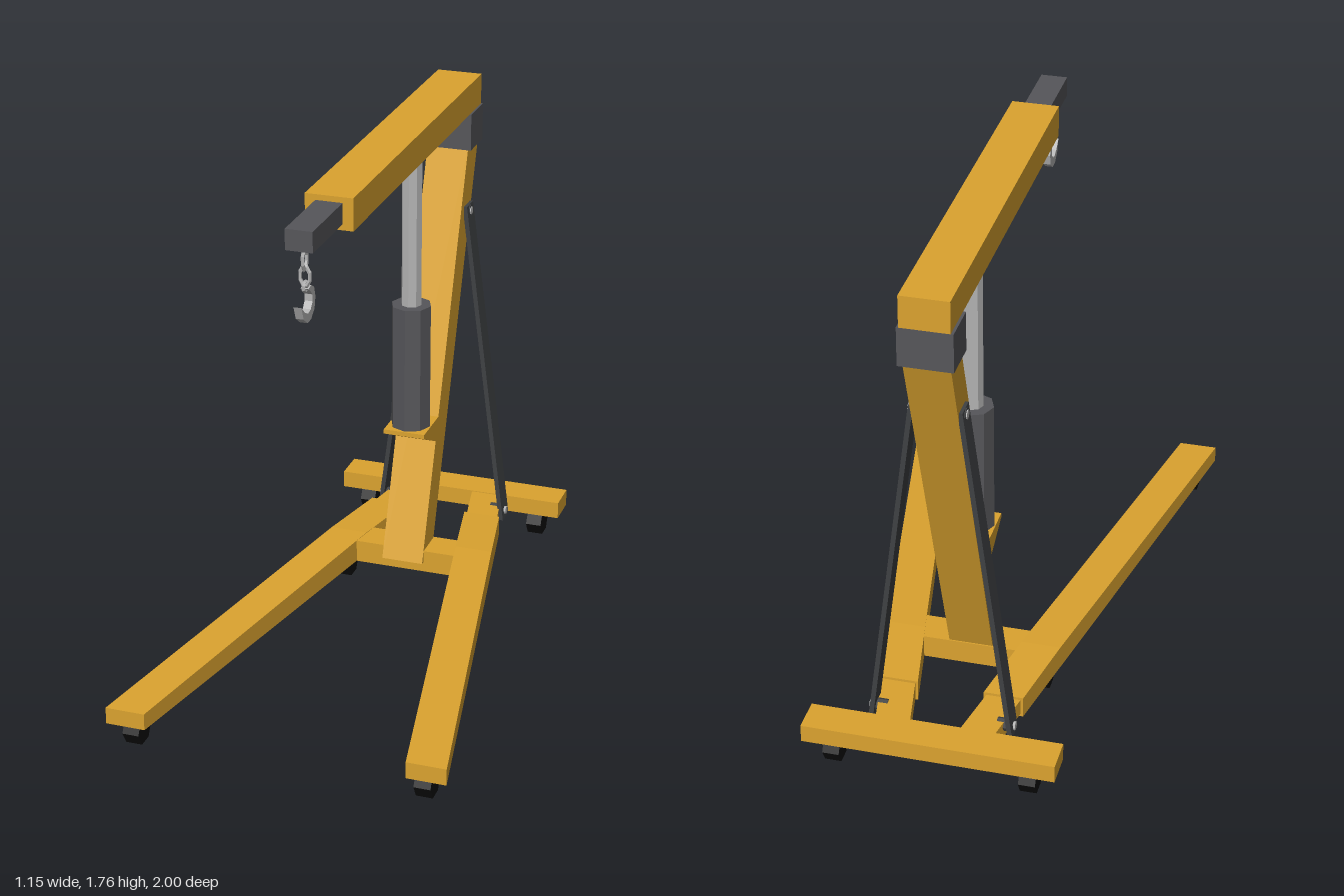
import * as THREE from 'three';

const mat = (name, color) => {
  const m = new THREE.MeshStandardMaterial({ color });
  m.name = name;
  return m;
};

export function createModel() {
  const yellow = mat('yellow paint', 0xdba32f);
  const grey = mat('dark grey metal', 0x56565a);
  const strutGrey = mat('strut grey', 0x3f4143);
  const steel = mat('steel', 0xb4b4b4);
  const rubber = mat('black rubber', 0x0e0e0e);

  const crane = new THREE.Group();
  crane.name = 'engineCrane';
  const CX = -0.008; // centre line of mast and boom

  const add = (name, geometry, material) => {
    const mesh = new THREE.Mesh(geometry, material);
    mesh.name = name;
    crane.add(mesh);
    return mesh;
  };
  // Faceted copy of a geometry
  const flat = (g) => {
    const f = g.index ? g.toNonIndexed() : g;
    f.computeVertexNormals();
    return f;
  };
  // Six-sided block whose corners follow rule(u, v, w), each 0 or 1 along x, y, z
  const block = (name, material, rule) => {
    const g = new THREE.BoxGeometry(1, 1, 1);
    const p = g.attributes.position;
    for (let i = 0; i < p.count; i++) {
      p.setXYZ(i, ...rule(p.getX(i) + 0.5, p.getY(i) + 0.5, p.getZ(i) + 0.5));
    }
    g.computeVertexNormals();
    return add(name, g, material);
  };
  const lerp = THREE.MathUtils.lerp;
  const box = (name, material, x0, x1, y0, y1, z0, z1) =>
    block(name, material, (u, v, w) => [lerp(x0, x1, u), lerp(y0, y1, v), lerp(z0, z1, w)]);
  const rod = (name, material, r, y0, y1, z, sides) => {
    const g = new THREE.CylinderGeometry(r, r, y1 - y0, sides);
    add(name, flat(g), material).position.set(CX, (y0 + y1) / 2, z);
  };
  // Short cylinder lying along x
  const disc = (name, material, r, width, sides, x, y, z) => {
    const g = new THREE.CylinderGeometry(r, r, width, sides).rotateZ(Math.PI / 2);
    add(name, flat(g), material).position.set(x, y, z);
  };

  // Base frame
  box('rearCrossbar', yellow, -0.43, 0.415, 0.09, 0.152, -1, -0.88);
  box('middleCrossbeam', yellow, -0.2, 0.19, 0.082, 0.163, -0.45, -0.33);
  const legX = (z) => 0.509 + (z - 1) * 0.195;

  for (const s of [-1, 1]) {
    const side = s > 0 ? 'left' : 'right';
    const mid = (z) => -0.004 + s * legX(z);

    // Leg: tall at the mast, shallower at the toe
    const leg = (name, z0, z1, width, y0, top0, top1) =>
      block(name, yellow, (u, v, w) => {
        const z = lerp(z0, z1, w);
        return [mid(z) + (u - 0.5) * width, lerp(y0, lerp(top0, top1, w), v), z];
      });
    leg(side + 'LegFront', -0.4, 1, 0.134, 0.082, 0.165, 0.14);
    leg(side + 'LegRear', -0.69, -0.4, 0.134, 0.083, 0.158, 0.165);
    leg(side + 'LegStub', -0.9, -0.6, 0.116, 0.092, 0.149, 0.149);

    // Wheels
    for (const [x, z] of [[0.495, 0.935], [0.24, -0.39], [0.328, -0.935]]) {
      disc(side + 'Wheel', rubber, 0.053, 0.056, 6, s * x - 0.007, 0.046, z);
    }

    // Flat strut leaning from the leg up to the mast
    block(side + 'Strut', strutGrey, (u, v, w) => [
      CX + s * lerp(0.235, 0.078, v) + (u - 0.5) * 0.016,
      lerp(0.105, 1.32, v),
      lerp(-0.84, -0.767, w),
    ]);
    disc(side + 'LowerBolt', steel, 0.015, 0.03, 8, CX + s * 0.231, 0.132, -0.803);
    disc(side + 'UpperBolt', steel, 0.015, 0.03, 8, CX + s * 0.079, 1.297, -0.803);
    disc(side + 'LowerBoltCollar', strutGrey, 0.022, 0.05, 8, CX + s * 0.21, 0.132, -0.803);
    disc(side + 'UpperBoltCollar', strutGrey, 0.022, 0.025, 8, CX + s * 0.078, 1.297, -0.803);
  }

  // Leaning mast
  block('mast', yellow, (u, v, w) => [
    CX + (u - 0.5) * 0.15,
    lerp(0.12, 1.54, v),
    lerp(-0.43, -0.93, v) + w * 0.118,
  ]);
  box('mastHeadBracket', grey, CX - 0.089, CX + 0.087, 1.52, 1.652, -0.94, -0.8);

  // Wedge shelf carrying the jack
  block('jackShelf', yellow, (u, v, w) => [
    CX + (u - 0.5) * 0.15,
    v ? 0.623 : lerp(0.53, 0.607, w),
    w ? -0.325 : lerp(-0.48, -0.505, v),
  ]);

  // Hydraulic jack
  rod('jackCasing', grey, 0.071, 0.622, 1.08, -0.402, 8);
  rod('jackPiston', steel, 0.036, 1.07, 1.655, -0.402, 8);

  // Boom and its sliding extension
  box('boom', yellow, CX - 0.08, CX + 0.08, 1.651, 1.76, -0.94, 0.43);
  box('boomExtension', grey, CX - 0.045, CX + 0.045, 1.672, 1.741, 0.35, 0.7);

  // Chain of two crossed links
  const link = (name, y, scaleY, r, turn) => {
    const g = new THREE.TorusGeometry(r, 0.006, 5, 8).rotateZ(Math.PI / 8).scale(1, scaleY, 1);
    const m = add(name, flat(g), steel);
    m.position.set(CX, y, 0.65);
    m.rotation.y = turn;
  };
  link('upperChainLink', 1.63, 1.7, 0.019, Math.PI / 2);
  link('lowerChainLink', 1.575, 1.8, 0.017, 0);
  link('hookEye', 1.541, 1, 0.016, Math.PI / 2);

  // Hook: a crescent outline in (z, y), extruded across x
  const outline = [
    [0.655, 1.535], [0.63, 1.54], [0.605, 1.525], [0.594, 1.49], [0.603, 1.452],
    [0.635, 1.428], [0.668, 1.428], [0.7, 1.452], [0.718, 1.497], [0.686, 1.469],
    [0.66, 1.457], [0.637, 1.462], [0.62, 1.482], [0.62, 1.505], [0.635, 1.52],
  ].map(([z, y]) => new THREE.Vector2(-z, y));
  const hook = new THREE.ExtrudeGeometry(new THREE.Shape(outline), { depth: 0.026, bevelEnabled: false });
  hook.translate(0, 0, -0.013).rotateY(Math.PI / 2);
  add('hook', hook, steel).position.x = CX;

  return crane;
}
